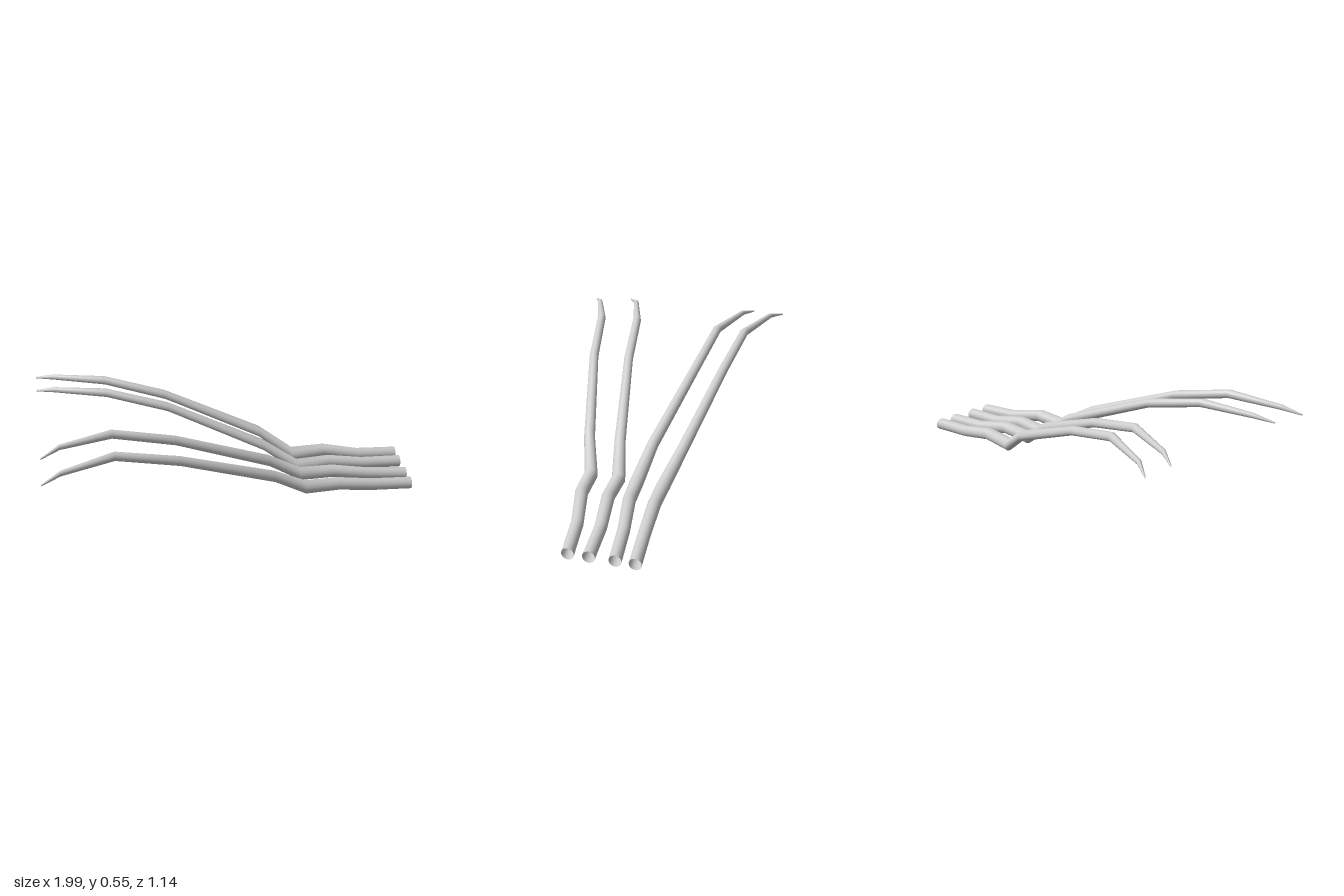
import * as THREE from 'three';

const SIDES = 24;

// Shared stations from the blunt base (+x) to the thin tip (-x)
const xs = [0.99, 0.77, 0.57, 0.39, 0.21, -0.30, -0.625, -0.89, -0.985];
const radii = [0.032, 0.032, 0.034, 0.036, 0.030, 0.025, 0.023, 0.014, 0.004];

// Height and sideways position of each strand at those stations
const strands = [
  { name: 'backOuterStrand', stretch: 0.014,
    y: [0.04, 0.06, 0.105, 0.098, 0.225, 0.445, 0.532, 0.526, 0.502],
    z: [-0.243, -0.225, -0.22, -0.217, -0.273, -0.366, -0.414, -0.51, -0.567] },
  { name: 'backInnerStrand', stretch: 0.012,
    y: [0.04, 0.06, 0.105, 0.10, 0.225, 0.445, 0.532, 0.526, 0.503],
    z: [-0.144, -0.12, -0.09, -0.078, -0.112, -0.217, -0.26, -0.35, -0.40] },
  { name: 'frontInnerStrand', stretch: 0,
    y: [0.037, 0.06, 0.106, 0.104, 0.225, 0.445, 0.532, 0.522, 0.495],
    z: [-0.013, -0.004, 0.02, 0.02, 0.064, 0.166, 0.21, 0.29, 0.348] },
  { name: 'frontOuterStrand', stretch: 0,
    y: [0.036, 0.06, 0.108, 0.107, 0.225, 0.437, 0.523, 0.503, 0.475],
    z: [0.092, 0.117, 0.16, 0.168, 0.232, 0.366, 0.422, 0.515, 0.567] },
];

// Loft upright circular rings into a tapering open tube
function strandGeometry({ y, z, stretch }) {
  const positions = [], index = [];
  xs.forEach((x, i) => {
    const px = x + (x < -0.8 ? -stretch : x > 0.9 ? 0.005 : 0);
    for (let j = 0; j < SIDES; j++) {
      const a = (j / SIDES) * Math.PI * 2;
      positions.push(px, y[i] + radii[i] * Math.cos(a), z[i] + radii[i] * Math.sin(a));
    }
  });
  for (let i = 0; i < xs.length - 1; i++) {
    for (let j = 0; j < SIDES; j++) {
      const k = (j + 1) % SIDES;
      const a = i * SIDES + j, b = i * SIDES + k;
      const c = a + SIDES, d = b + SIDES;
      index.push(a, c, b, b, c, d);
    }
  }
  const geometry = new THREE.BufferGeometry();
  geometry.setAttribute('position', new THREE.Float32BufferAttribute(positions, 3));
  geometry.setIndex(index);
  geometry.computeVertexNormals();
  return geometry;
}

export function createModel() {
  const group = new THREE.Group();
  group.name = 'strands';
  const material = new THREE.MeshStandardMaterial({ color: 0xcccccc, side: THREE.DoubleSide });
  for (const strand of strands) {
    const mesh = new THREE.Mesh(strandGeometry(strand), material);
    mesh.name = strand.name;
    group.add(mesh);
  }
  return group;
}
